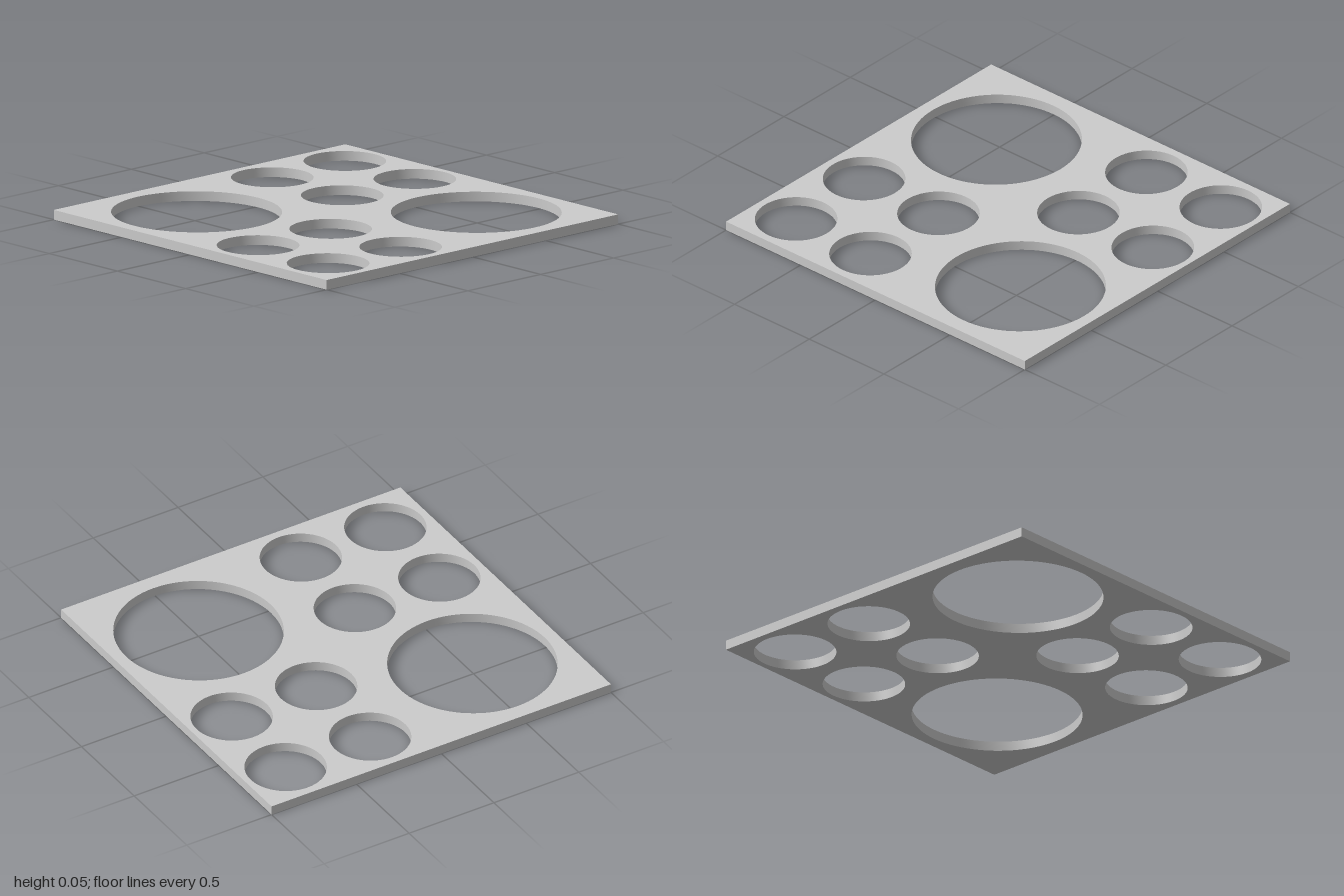
import * as THREE from 'three';
import { toCreasedNormals } from 'three/addons/utils/BufferGeometryUtils.js';

const THICKNESS = 0.05;

export function createModel() {
  const group = new THREE.Group();
  group.name = 'perforatedPanel';

  // Square outline, drawn in plan with shape y = -z
  const outline = new THREE.Shape();
  outline.moveTo(-1, -1);
  outline.lineTo(1, -1);
  outline.lineTo(1, 1);
  outline.lineTo(-1, 1);
  outline.closePath();

  const addHole = (x, z, rx, rz) => {
    const hole = new THREE.Path();
    hole.absellipse(x, -z, rx, rz, 0, Math.PI * 2, true);
    outline.holes.push(hole);
  };

  // Two diagonal quarters hold one large hole, the other two hold four small ones
  for (const s of [-1, 1]) {
    addHole(-s * 0.482, s * 0.508 - 0.003, 0.431, 0.426);
    for (const x of [0.235, 0.748]) {
      for (const z of [0.26, 0.758]) addHole(s * x, s * z - 0.003, 0.208, 0.206);
    }
  }

  // Flat plate, laid down so that the extrusion rises from y = 0
  const geometry = new THREE.ExtrudeGeometry(outline, {
    depth: THICKNESS, bevelEnabled: false, curveSegments: 40,
  });
  geometry.rotateX(-Math.PI / 2);

  const panel = new THREE.Mesh(
    toCreasedNormals(geometry, 0.5),
    new THREE.MeshStandardMaterial({ color: 0xcccccc }),
  );
  panel.name = 'panel';
  group.add(panel);
  return group;
}
